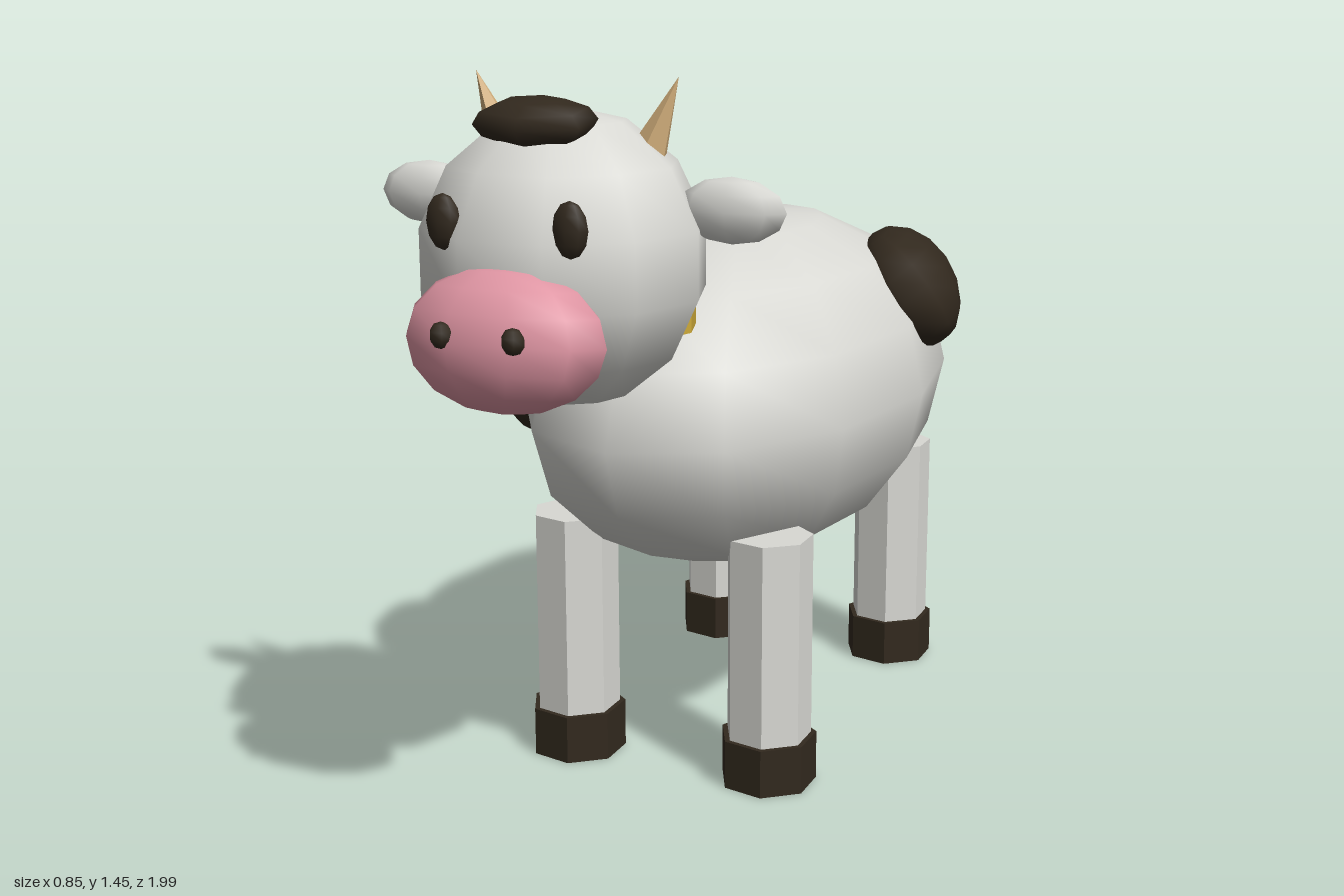
import * as THREE from 'three';

export function createModel() {
  const mat = (name, color, flat = false) => {
    const m = new THREE.MeshStandardMaterial({ color, flatShading: flat });
    m.name = name;
    return m;
  };
  const white = mat('white hide', 0xd9d9d4);
  const dark = mat('dark brown', 0x32291e);
  const pink = mat('pink skin', 0xdf95a3);
  const horn = mat('horn', 0xd6b27e);
  const yellow = mat('yellow collar', 0xcfab3a);

  const cow = new THREE.Group();
  cow.name = 'cow';

  const add = (parent, name, geometry, material, pos) => {
    const mesh = new THREE.Mesh(geometry, material);
    mesh.name = name;
    mesh.position.set(...pos);
    parent.add(mesh);
    return mesh;
  };
  // Low-poly ellipsoid with smooth normals
  const blob = (parent, name, material, pos, radii, w = 8, h = 6) => {
    const mesh = add(parent, name, new THREE.SphereGeometry(1, w, h), material, pos);
    mesh.scale.set(...radii);
    return mesh;
  };
  // Prism with hard edges
  const prism = (rTop, rBottom, height, sides) =>
    new THREE.CylinderGeometry(rTop, rBottom, height, sides).toNonIndexed();
  const facet = (geometry) => {
    geometry.computeVertexNormals();
    return geometry;
  };
  // Straight tapered rod between two points
  const rod = (parent, name, material, from, to, r0, r1, sides) => {
    const a = new THREE.Vector3(...from), b = new THREE.Vector3(...to);
    const dir = b.clone().sub(a);
    const mid = a.clone().add(b).multiplyScalar(0.5);
    const mesh = add(parent, name, facet(prism(r1, r0, dir.length(), sides)), material, mid.toArray());
    mesh.quaternion.setFromUnitVectors(new THREE.Vector3(0, 1, 0), dir.normalize());
    return mesh;
  };

  // Body and udder
  const bodyPos = [0, 0.737, -0.165], bodyRadii = [0.405, 0.368, 0.68];
  blob(cow, 'body', white, bodyPos, bodyRadii, 12, 8);
  blob(cow, 'udder', pink, [0, 0.42, -0.41], [0.15, 0.1, 0.14], 10, 8);

  // Hide patches, flattened along the body's surface normal
  const patch = (name, pos, radii) => {
    const mesh = blob(cow, name, dark, pos, radii, 10, 8);
    const normal = pos.map((p, i) => (p - bodyPos[i]) / bodyRadii[i] ** 2);
    mesh.lookAt(new THREE.Vector3(...normal).normalize().add(mesh.position));
  };
  patch('leftHipPatch', [0.3, 0.92, -0.39], [0.215, 0.14, 0.1]);
  patch('rightShoulderPatch', [-0.34, 0.795, 0.09], [0.175, 0.145, 0.08]);

  // Seven-sided legs with hooves
  for (const [end, z] of [['front', 0.222], ['back', -0.565]]) {
    for (const [side, s] of [['Left', 1], ['Right', -1]]) {
      const leg = new THREE.Group();
      leg.name = `${end}${side}Leg`;
      leg.position.set(s * 0.2145, 0, z);
      leg.rotation.y = -Math.PI / 2;
      add(leg, 'shank', facet(prism(0.088, 0.088, 0.44, 7)), white, [0, 0.3, 0]);
      add(leg, 'hoof', facet(prism(0.099, 0.099, 0.1, 7)), dark, [0, 0.05, 0]);
      cow.add(leg);
    }
  }

  // Tail and tuft
  rod(cow, 'tail', white, [0, 0.53, -0.966], [0, 0.922, -0.835], 0.018, 0.018, 6);
  blob(cow, 'tailTuft', dark, [0, 0.524, -0.954], [0.046, 0.046, 0.046], 6, 5);

  // Flat collar between body and head
  const collar = add(cow, 'collar', facet(prism(0.143, 0.143, 0.032, 10)), yellow, [0, 0.98, 0.44]);
  collar.rotation.y = Math.PI / 10;

  // Head, muzzle and forelock
  const head = new THREE.Group();
  head.name = 'head';
  cow.add(head);
  blob(head, 'skull', white, [0, 1.131, 0.663], [0.26, 0.265, 0.254], 10, 7);
  blob(head, 'muzzle', pink, [0, 1.027, 0.885], [0.188, 0.125, 0.105], 10, 8).rotation.x = -0.1;
  const forelock = new THREE.SphereGeometry(1, 6, 6).rotateY(Math.PI / 6);
  const lock = add(head, 'forelock', forelock, dark, [0, 1.376, 0.763]);
  lock.scale.set(0.116, 0.042, 0.073);
  lock.rotation.x = 0.15;

  // Paired face parts
  for (const [side, s] of [['left', 1], ['right', -1]]) {
    blob(head, `${side}Eye`, dark, [s * 0.118, 1.216, 0.872], [0.033, 0.048, 0.02]);
    blob(head, `${side}Nostril`, dark, [s * 0.066, 1.048, 0.978], [0.022, 0.023, 0.02], 6, 5);
    blob(head, `${side}Ear`, white, [s * 0.295, 1.223, 0.615], [0.1, 0.058, 0.037]);
    rod(head, `${side}Horn`, horn, [s * 0.135, 1.3, 0.612], [s * 0.196, 1.445, 0.612], 0.038, 0, 5);
  }
  return cow;
}
